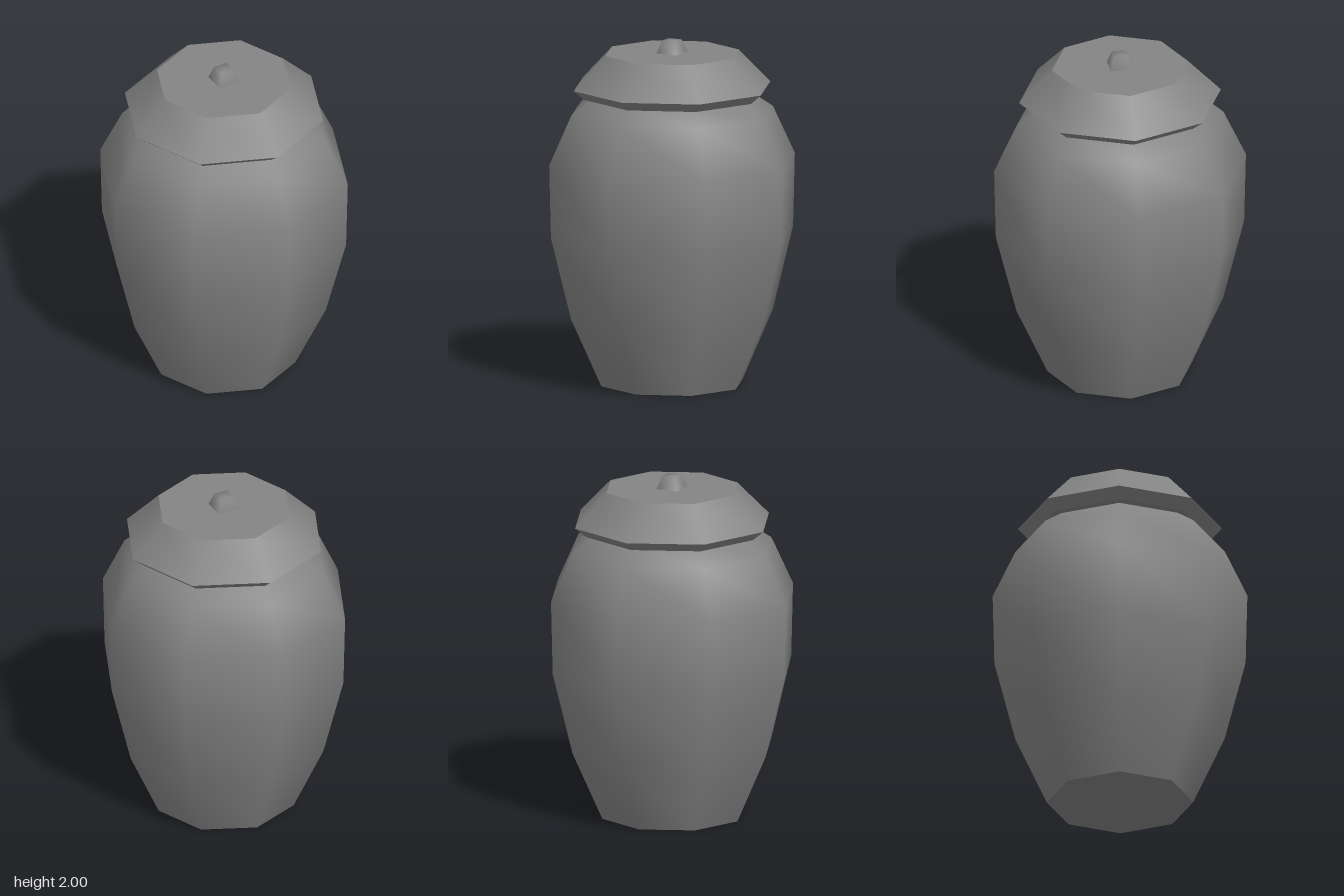
import * as THREE from 'three';

const material = new THREE.MeshStandardMaterial({ color: 0x848484, side: THREE.DoubleSide });

// Turned surface, smooth within one profile; separate profiles meet at sharp edges
function turned(name, sides, profile) {
  const points = profile.map(([r, y]) => new THREE.Vector2(r, y));
  const mesh = new THREE.Mesh(new THREE.LatheGeometry(points, sides), material);
  mesh.name = name;
  return mesh;
}

export function createModel() {
  const model = new THREE.Group();
  model.name = 'liddedJar';

  // Jar: flat base and smooth eight-sided body narrowing to the neck
  const jar = new THREE.Group();
  jar.name = 'jar';
  jar.add(
    turned('base', 8, [[0, 0], [0.42, 0]]),
    turned('body', 8, [[0.42, 0], [0.6, 0.4], [0.72, 0.88], [0.73, 1.305], [0.6, 1.585], [0.455, 1.685]])
  );

  // Lid: underside, undercut rim, sloping skirt and flat top
  const lid = new THREE.Group();
  lid.name = 'lid';
  lid.add(
    turned('lidUnderside', 8, [[0.44, 1.675], [0.52, 1.675]]),
    turned('lidRim', 8, [[0.52, 1.675], [0.585, 1.73]]),
    turned('lidSkirt', 8, [[0.585, 1.73], [0.395, 1.925]]),
    turned('lidTop', 8, [[0.395, 1.925], [0, 1.925]])
  );

  // Knob: small four-sided tapered handle
  const knob = turned('knob', 4, [[0.093, 1.925], [0.058, 2], [0, 2]]);

  model.add(jar, lid, knob);
  return model;
}
